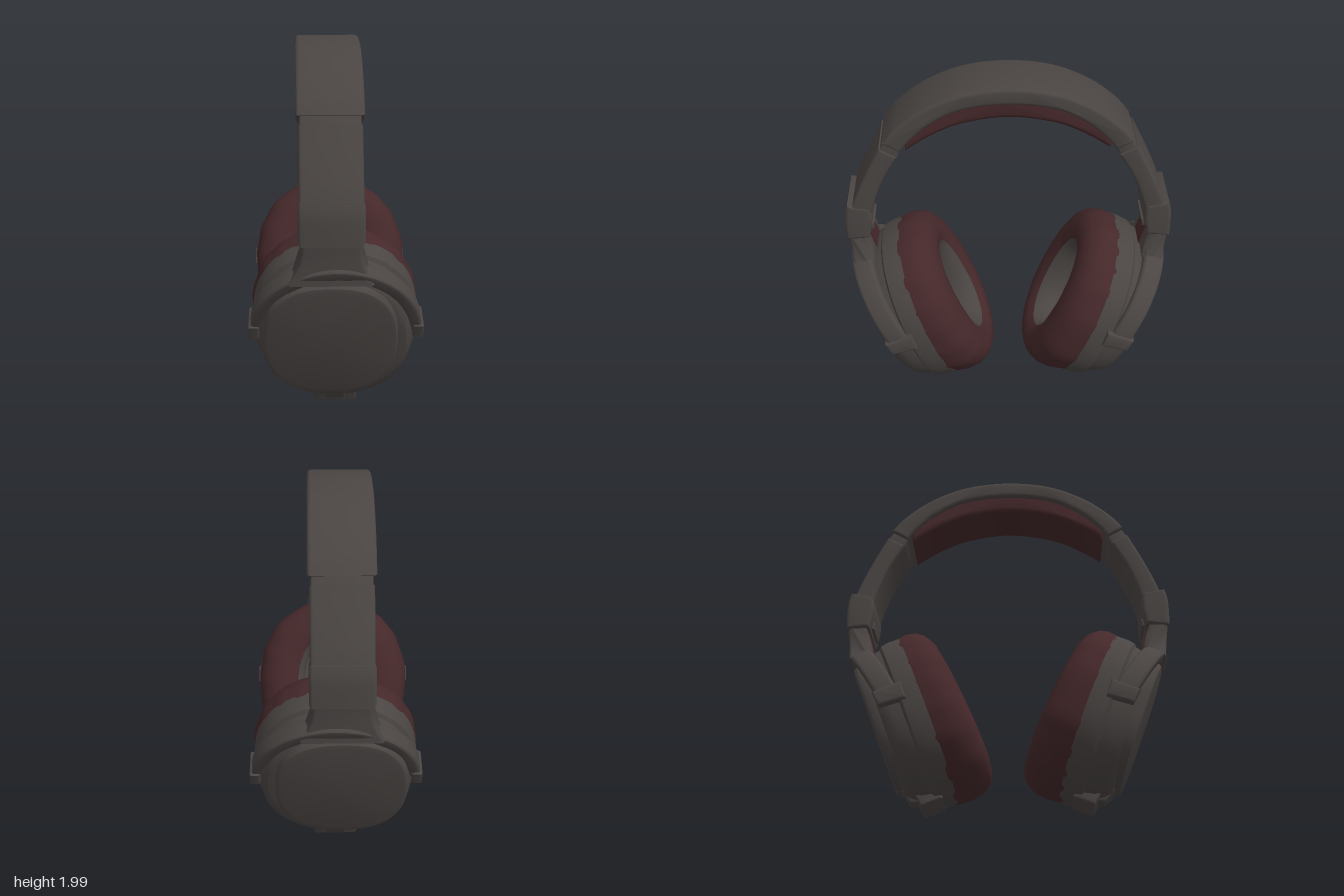
import * as THREE from 'three';
import { toCreasedNormals } from 'three/addons/utils/BufferGeometryUtils.js';

const BAND_X = -0.03; // the band sits slightly off the cup centre line

export function createModel() {
  const grey = new THREE.MeshStandardMaterial({ color: 0x4a4543 });
  grey.name = 'charcoal plastic';
  const maroon = new THREE.MeshStandardMaterial({ color: 0x45282a });
  maroon.name = 'maroon leather';

  const model = new THREE.Group();
  model.name = 'headphones';

  function add(parent, name, geo, mat, crease = 0.6) {
    const mesh = new THREE.Mesh(toCreasedNormals(geo, crease), mat);
    mesh.name = name;
    parent.add(mesh);
    return mesh;
  }

  // Side profile in (z, y) between an outer and an inner curve, given a width along x
  function strip(outer, inner, width, bevel, x) {
    const curve = (pts) =>
      new THREE.SplineCurve(pts.map((p) => new THREE.Vector2(...p))).getPoints(pts.length * 5);
    const shape = new THREE.Shape([...curve(outer), ...curve(inner).reverse()]);
    const geo = new THREE.ExtrudeGeometry(shape, {
      depth: width - 2 * bevel, bevelThickness: bevel, bevelSize: bevel,
      bevelOffset: -bevel, bevelSegments: 3,
    });
    geo.translate(0, 0, -(width - 2 * bevel) / 2);
    geo.rotateY(-Math.PI / 2);
    geo.translate(x, 0, 0);
    return geo;
  }

  // Skin over superellipse rings [z, rx, ry]; the soft side is thicker at the bottom
  function loft(rings, { power = 2.2, cx = 0, cy = -0.01, wrinkle = 0 } = {}) {
    const n = 72, pos = [], idx = [];
    const bend = (v) => Math.sign(v) * Math.abs(v) ** (2 / power);
    rings.forEach(([z, rx, ry], i) => {
      for (let j = 0; j < n; j++) {
        const a = (j / n) * Math.PI * 2;
        const fold = 1 + wrinkle * Math.sin(a * 17 + 2 * Math.sin(a * 3));
        const x = bend(Math.cos(a)) * rx * fold;
        const y = bend(Math.sin(a)) * ry * fold;
        pos.push(x + cx, y + cy, z < 0 ? z * (1 - 0.35 * y) : z);
        if (i === rings.length - 1) continue;
        const k = (j + 1) % n, p = i * n, q = p + n;
        idx.push(p + j, p + k, q + k, p + j, q + k, q + j);
      }
    });
    const geo = new THREE.BufferGeometry();
    geo.setAttribute('position', new THREE.Float32BufferAttribute(pos, 3));
    geo.setIndex(idx);
    return geo;
  }

  // Mirrors a half curve that starts at z = 0
  const both = (half) => [...half.slice(1).reverse().map(([z, y]) => [-z, y]), ...half];

  // Headband top and its padding
  add(model, 'headband', strip(
    both([[0, 2], [0.25, 1.97], [0.46, 1.88], [0.61, 1.765], [0.685, 1.675]]),
    both([[0, 1.905], [0.25, 1.875], [0.42, 1.79], [0.53, 1.695], [0.59, 1.62]]),
    0.36, 0.02, BAND_X), grey);
  add(model, 'headbandPad', strip(
    both([[0, 1.94], [0.25, 1.91], [0.42, 1.82], [0.57, 1.69]]),
    both([[0, 1.815], [0.25, 1.778], [0.42, 1.705], [0.56, 1.615]]),
    0.31, 0.025, BAND_X), maroon);

  for (const s of [1, -1]) {
    const side = new THREE.Group();
    side.name = s > 0 ? 'frontSide' : 'backSide';
    side.rotation.y = s > 0 ? 0 : Math.PI;
    model.add(side);
    const bx = BAND_X * s;

    // Folding joint, arm and slider housing
    add(side, 'joint', strip([[0.66, 1.7], [0.72, 1.6]], [[0.58, 1.64], [0.61, 1.58]],
      0.32, 0.01, bx), grey);
    add(side, 'arm', strip(
      [[0.705, 1.64], [0.79, 1.47], [0.86, 1.31], [0.9, 1.18]],
      [[0.605, 1.585], [0.69, 1.44], [0.75, 1.29], [0.785, 1.16]], 0.335, 0.018, bx), grey);
    add(side, 'sliderHousing', strip(
      [[0.905, 1.27], [0.922, 1.19], [0.922, 1.04]],
      [[0.775, 1.25], [0.77, 1.16], [0.79, 1.05]], 0.345, 0.02, bx), grey);
    add(side, 'sliderCatch', strip(
      [[0.8, 1.12], [0.8, 1.07]], [[0.765, 1.11], [0.77, 1.065]], 0.2, 0.008, bx), grey);

    // Stem, flaring out into the yoke
    const stem = strip(
      [[0.918, 1.08], [0.9, 0.95], [0.885, 0.82]],
      [[0.815, 1.08], [0.775, 0.95], [0.765, 0.83]], 0.31, 0.018, bx);
    const sp = stem.attributes.position;
    for (let i = 0; i < sp.count; i++) {
      const flare = 1 + 0.5 * Math.max(0, (1.02 - sp.getY(i)) / 0.2) ** 2;
      sp.setX(i, bx + (sp.getX(i) - bx) * flare);
    }
    add(side, 'stem', stem, grey);
    const lining = add(side, 'stemLining',
      new THREE.BoxGeometry(0.16, 0.13, 0.008), maroon);
    lining.position.set(bx, 0.99, 0.782);
    lining.rotation.x = 0.3;

    // Ear cup, tilted so that +z points out of the cup
    const cup = new THREE.Group();
    cup.name = 'earCup';
    cup.position.set(0, 0.55, 0.47);
    cup.rotation.x = 0.361;
    side.add(cup);

    add(cup, 'speakerCover', loft([[-0.06, 0.001, 0.001], [-0.06, 0.19, 0.28]]), grey);
    add(cup, 'cushionLining', loft([
      [-0.06, 0.18, 0.27], [-0.12, 0.175, 0.265], [-0.165, 0.19, 0.28], [-0.195, 0.215, 0.3],
    ]), grey, 1);
    add(cup, 'cushion', loft([
      [-0.195, 0.215, 0.3], [-0.216, 0.25, 0.335], [-0.222, 0.3, 0.375], [-0.212, 0.355, 0.425],
      [-0.18, 0.41, 0.467], [-0.13, 0.443, 0.493], [-0.07, 0.455, 0.502], [0.005, 0.446, 0.492],
    ], { wrinkle: 0.007 }), maroon, 1.2);
    add(cup, 'shell', loft([
      [-0.01, 0.43, 0.47], [-0.01, 0.45, 0.493], [0.05, 0.452, 0.493], [0.1, 0.445, 0.485],
      [0.115, 0.425, 0.467], [0.17, 0.42, 0.455], [0.22, 0.405, 0.425], [0.25, 0.375, 0.39],
      [0.258, 0.33, 0.35], [0.258, 0.001, 0.001],
    ]), grey);
    add(cup, 'outerPlate', loft([
      [0.22, 0.362, 0.378], [0.268, 0.36, 0.376], [0.285, 0.348, 0.364],
      [0.292, 0.325, 0.34], [0.292, 0.001, 0.001],
    ], { power: 2.5, cx: bx, cy: 0.01 }), grey);

    // Yoke arch, leaning outwards towards the stem
    const arch = new THREE.Shape();
    arch.absellipse(0, 0, 0.462, 0.47, 0, Math.PI, false);
    arch.lineTo(-0.39, 0);
    arch.absellipse(0, 0, 0.39, 0.395, Math.PI, 0, true);
    const yoke = new THREE.ExtrudeGeometry(arch, {
      depth: 0.08, curveSegments: 40, bevelThickness: 0.02, bevelSize: 0.018,
      bevelOffset: -0.018, bevelSegments: 3,
    });
    const yp = yoke.attributes.position;
    for (let i = 0; i < yp.count; i++) {
      yp.setZ(i, yp.getZ(i) + 0.115 + 0.17 * Math.max(0, yp.getY(i)));
      yp.setY(i, yp.getY(i) + 0.02);
    }
    add(cup, 'yoke', yoke, grey);

    // Pivot clips at both ends of the yoke
    for (const e of [1, -1]) {
      const clip = strip([[0.07, 0.075], [0.235, 0.07]], [[0.075, -0.025], [0.225, -0.015]],
        0.06, 0.012, e * 0.442);
      add(cup, e > 0 ? 'leftClip' : 'rightClip', clip, grey);
    }

    // Bottom tabs
    add(cup, 'bottomTab', strip([[0.055, -0.43], [0.2, -0.43]],
      [[0.065, -0.508], [0.19, -0.508]], 0.24, 0.012, 0), grey);
    add(cup, 'bottomLatch', strip([[0.17, -0.36], [0.265, -0.36]],
      [[0.17, -0.468], [0.235, -0.45]], 0.11, 0.012, 0), grey);
  }
  return model;
}
